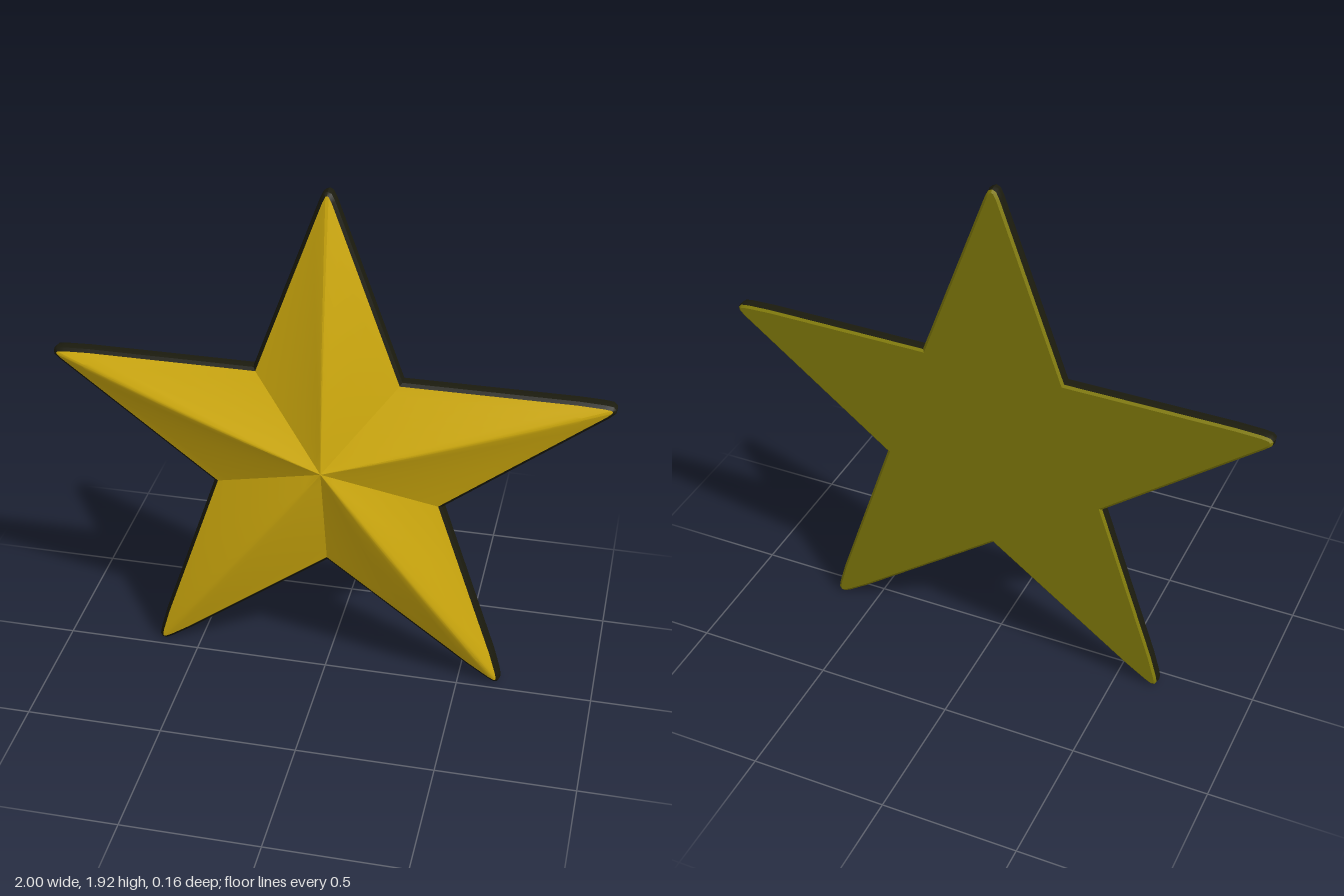
import * as THREE from 'three';
import { toCreasedNormals } from 'three/addons/utils/BufferGeometryUtils.js';

const V = (x, y) => new THREE.Vector2(x, y);
const CENTER = V(0, 0.9);

// Tips and the notches that follow them, counter-clockwise from the top
const TIPS = [V(0, 1.925), V(-0.998, 1.22), V(-0.65, 0.003), V(0.65, 0.003), V(0.998, 1.22)];
const NOTCHES = [V(-0.265, 1.24), V(-0.42, 0.75), V(0, 0.46), V(0.42, 0.75), V(0.265, 1.24)];

// Rounded end of an arm: distance back from the tip, half width
const TIP_PROFILE = [[0.12, 0.06], [0.035, 0.029], [0.008, 0.016]];

function starOutline() {
  const points = [];
  TIPS.forEach((tip, i) => {
    const d = tip.clone().sub(CENTER).normalize();
    const n = V(d.y, -d.x);
    const side = (sign) => TIP_PROFILE.map(([back, half]) =>
      tip.clone().addScaledVector(d, -back).addScaledVector(n, sign * half));
    const before = side(1);
    const after = side(-1).reverse();
    const previous = NOTCHES[(i + 4) % 5];
    points.push(previous.clone().lerp(before[0], 0.5), ...before, tip.clone(), ...after,
      after[2].clone().lerp(NOTCHES[i], 0.5), NOTCHES[i].clone());
  });
  return points;
}

// Move the outline inward by an even distance
function inset(points, distance) {
  return points.map((p, i) => {
    const a = p.clone().sub(points.at(i - 1)).normalize();
    const b = points[(i + 1) % points.length].clone().sub(p).normalize();
    const n = V(-a.y - b.y, a.x + b.x).normalize();
    const miter = Math.max(0.5, -n.x * a.y + n.y * a.x);
    return p.clone().addScaledVector(n, distance / miter);
  });
}

const layer = (points, z) => points.map((p) => new THREE.Vector3(p.x, p.y, z));

// Skin a stack of equal loops, leaving out collapsed triangles
function loft(layers, crease) {
  const positions = [];
  const triangle = new THREE.Triangle();
  const add = (a, b, c) => {
    if (triangle.set(a, b, c).getArea() > 1e-9) {
      for (const v of [a, b, c]) positions.push(v.x, v.y, v.z);
    }
  };
  for (let k = 0; k < layers.length - 1; k++) {
    const a = layers[k], b = layers[k + 1];
    for (let i = 0; i < a.length; i++) {
      const j = (i + 1) % a.length;
      add(a[i], a[j], b[j]);
      add(a[i], b[j], b[i]);
    }
  }
  const geometry = new THREE.BufferGeometry();
  geometry.setAttribute('position', new THREE.Float32BufferAttribute(positions, 3));
  return toCreasedNormals(geometry, crease);
}

export function createModel() {
  const gold = new THREE.MeshStandardMaterial({ color: 0xdcb50f });
  gold.name = 'gold';
  const olive = new THREE.MeshStandardMaterial({ color: 0x87800b });
  olive.name = 'olive';
  const black = new THREE.MeshStandardMaterial({ color: 0x1b1b0e });
  black.name = 'black';

  const group = new THREE.Group();
  group.name = 'star';
  const add = (name, geometry, material) => {
    const mesh = new THREE.Mesh(geometry, material);
    mesh.name = name;
    group.add(mesh);
  };

  const outline = starOutline();
  const ring = (z, distance) => layer(inset(outline, distance), z);

  // Flat back with a narrow bevel
  add('backPlate', loft([
    layer(outline.map(() => CENTER), -0.08),
    ring(-0.08, 0.012),
    ring(-0.073, 0.003),
  ], 0.5), olive);

  // Dark rounded rim
  add('rim', loft([
    ring(-0.073, 0.003),
    ring(-0.055, 0),
    ring(-0.036, 0.003),
    ring(-0.027, 0.014),
  ], 0.7), black);

  // Faceted front: ridges to the tips bow outward, valleys run straight
  const base = inset(outline, 0.014);
  const STEPS = 10;
  const rings = [];
  for (let k = 0; k <= STEPS; k++) {
    const t = k / STEPS;
    rings.push(base.map((p) => {
      const bow = THREE.MathUtils.clamp((p.distanceTo(CENTER) - 0.43) / 0.58, 0, 1) * 0.55;
      const q = p.clone().lerp(CENTER, t);
      return new THREE.Vector3(q.x, q.y, -0.027 + 0.107 * (t + bow * t * (1 - t)));
    }));
  }
  add('frontFacets', loft(rings, 0.22), gold);

  return group;
}
